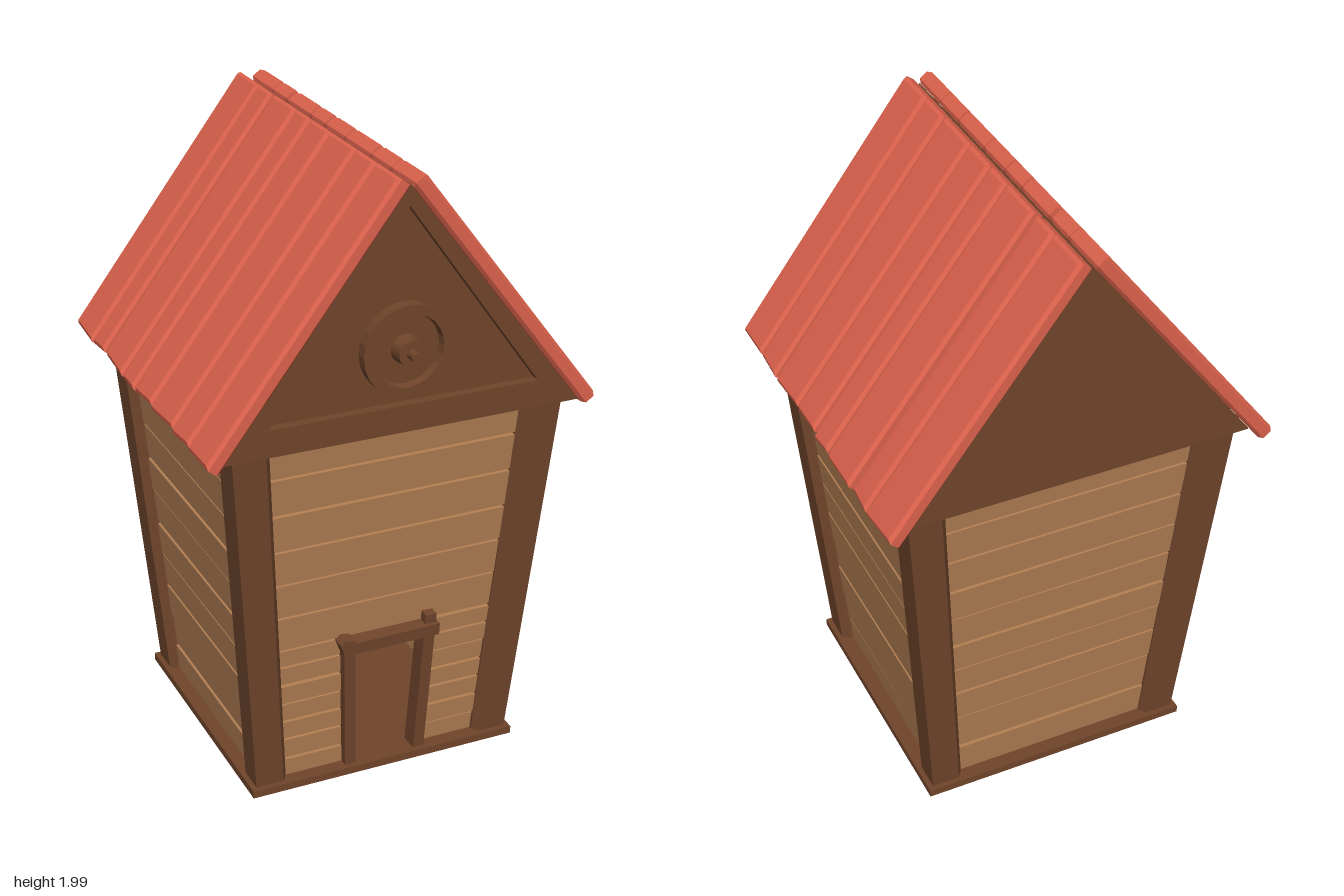
import * as THREE from 'three';

const mat = (color) => new THREE.MeshStandardMaterial({ color, flatShading: true });
const DARK = mat(0x70452b), PLANK = mat(0xb07d52), RED = mat(0xdc624c);
const CZ = -0.01;                       // body centre in z
const LEAN = Math.atan(0.1 / 1.2);      // outward lean of the walls

let seed = 7;
const jitter = (a) => {
  seed = (seed * 16807) % 2147483647;
  return (seed / 2147483647 * 2 - 1) * a;
};

function add(parent, name, geometry, material, x = 0, y = 0, z = 0) {
  const m = new THREE.Mesh(geometry, material);
  m.name = name;
  m.position.set(x, y, z);
  parent.add(m);
  return m;
}

const polygon = (pts) => new THREE.Shape(pts.map(([x, y]) => new THREE.Vector2(x, y)));
const extrude = (shape, depth) => new THREE.ExtrudeGeometry(shape, { depth, bevelEnabled: false });

// Corner post: square section with chamfered inner edges, leaning out and widening upwards
function postGeometry() {
  const g = extrude(polygon([[0, 0], [0.78, 0], [1, 0.16], [1, 1], [0.16, 1], [0, 0.78]]), 1);
  g.rotateX(-Math.PI / 2);
  const p = g.attributes.position, lerp = THREE.MathUtils.lerp;
  for (let i = 0; i < p.count; i++) {
    const t = p.getY(i), start = lerp(0.325, 0.405, t), size = lerp(0.108, 0.125, t);
    p.setXYZ(i, start + p.getX(i) * size, lerp(0.02, 1.216, t), -(start - p.getZ(i) * size));
  }
  g.computeVertexNormals();
  return g;
}

// Row of planks between successive heights; xRange limits them to one side of the doorway
function planks(wall, edges, xRange) {
  for (let i = 0; i < edges.length - 1; i++) {
    const y = (edges[i] + edges[i + 1]) / 2, h = edges[i + 1] - edges[i] - 0.008;
    const half = 0.375 + 0.083 * y;
    const [x0, x1] = xRange ? xRange(half) : [-half, half];
    const m = add(wall, 'plank', new THREE.BoxGeometry(x1 - x0, h, 0.03), PLANK,
      (x0 + x1) / 2, y, jitter(0.003));
    m.rotation.z = jitter(0.005);
  }
}

// Leaning wall, turned to face one of the four sides
function makeWall(parent, name, turn) {
  const side = new THREE.Group(), wall = new THREE.Group();
  side.name = name;
  side.position.z = CZ;
  side.rotation.y = turn;
  wall.position.z = 0.385;
  wall.rotation.x = LEAN;
  side.add(wall);
  parent.add(side);
  return wall;
}

// Bevelled roof board, x down the slope, y as thickness, slightly uneven corners
function roofBoard(length, width, thick) {
  const b = 0.01, w = width / 2 - b, j = () => jitter(0.006);
  const shape = polygon([[b + 0.003, -w], [length - b + j(), -w + Math.abs(j())],
    [length - b + j(), w - Math.abs(j())], [b + 0.003, w]]);
  const g = new THREE.ExtrudeGeometry(shape, {
    depth: thick - 2 * b, bevelEnabled: true, bevelSize: b, bevelThickness: b, bevelSegments: 1,
  });
  g.translate(0, 0, b);
  g.rotateX(-Math.PI / 2);
  return g;
}

export function createModel() {
  const model = new THREE.Group();
  model.name = 'hut';

  // Floor and corner posts
  add(model, 'floor', new THREE.BoxGeometry(0.9, 0.025, 0.9), DARK, 0, 0.0125, CZ);
  const post = postGeometry();
  for (let i = 0; i < 4; i++) {
    add(model, 'cornerPost', post, DARK, 0, 0, CZ).rotation.y = i * Math.PI / 2;
  }

  // Plank walls
  const sideEdges = [0.02, 0.12, 0.23, 0.35, 0.465, 0.58, 0.7, 0.815, 0.935, 1.06, 1.2];
  planks(makeWall(model, 'leftWall', Math.PI / 2), sideEdges);
  planks(makeWall(model, 'rightWall', -Math.PI / 2), sideEdges);
  planks(makeWall(model, 'backWall', Math.PI),
    [0.02, 0.14, 0.28, 0.4, 0.51, 0.62, 0.74, 0.86, 0.985, 1.11, 1.21]);
  const front = makeWall(model, 'frontWall', 0);
  planks(front, [0.5, 0.62, 0.74, 0.86, 0.985, 1.11, 1.21]);
  const doorEdges = [0.02, 0.09, 0.165, 0.233, 0.3, 0.37, 0.437, 0.5];
  planks(front, doorEdges, (half) => [-half, -0.12]);
  planks(front, doorEdges, (half) => [0.12, half]);

  // Door frame
  const leftJamb = add(front, 'leftDoorJamb', new THREE.BoxGeometry(0.037, 0.515, 0.06), DARK, 0.132, 0.277, 0.015);
  leftJamb.rotation.z = -0.03;
  const rightJamb = add(front, 'rightDoorJamb', new THREE.BoxGeometry(0.036, 0.47, 0.06), DARK, -0.124, 0.255, 0.015);
  rightJamb.rotation.z = 0.045;
  const lintel = extrude(polygon([[-0.155, 0.46], [0.165, 0.463], [0.165, 0.503], [-0.118, 0.5],
    [-0.125, 0.511], [-0.155, 0.515], [-0.17, 0.5]]), 0.07);
  add(front, 'doorLintel', lintel, DARK, 0, 0, -0.013);

  // Solid gable with a raised triangular frame on the front
  const outline = [[-0.568, 1.215], [0.568, 1.215], [0, 1.963]];
  add(model, 'gable', extrude(polygon(outline), 1.08), DARK, 0, 0, -0.56);
  const frame = polygon(outline);
  frame.holes.push(new THREE.Path([[-0.43, 1.3], [0, 1.9], [0.43, 1.3]]
    .map(([x, y]) => new THREE.Vector2(x, y))));
  add(model, 'gableFrame', extrude(frame, 0.03), DARK, 0, 0, 0.52);

  // Round ornament with rim, hub and pin
  const profile = [[0.14, 0], [0.14, 0.037], [0.112, 0.037], [0.108, 0.012], [0.045, 0.012],
    [0.04, 0.058], [0.016, 0.058], [0.016, 0.095], [0, 0.095]];
  const ornament = new THREE.LatheGeometry(profile.map(([r, h]) => new THREE.Vector2(r, h)), 24);
  ornament.rotateX(Math.PI / 2);
  add(model, 'gableOrnament', ornament, DARK, 0, 1.47, 0.52);

  // Roof boards on both slopes
  const spans = [[-0.613, -0.448], [-0.443, -0.34], [-0.32, -0.156], [-0.147, -0.047],
    [-0.037, 0.095], [0.102, 0.273], [0.283, 0.407], [0.413, 0.567]];
  for (const side of [1, -1]) {
    const slope = new THREE.Group();
    slope.name = side > 0 ? 'leftRoof' : 'rightRoof';
    slope.rotation.y = side > 0 ? 0 : Math.PI;
    for (const [z0, z1] of spans) {
      const m = add(slope, 'roofBoard', roofBoard(0.966, z1 - z0, 0.05), RED,
        0, 1.965, side * (z0 + z1) / 2);
      m.rotation.z = -0.921;
    }
    model.add(slope);
  }
  return model;
}
